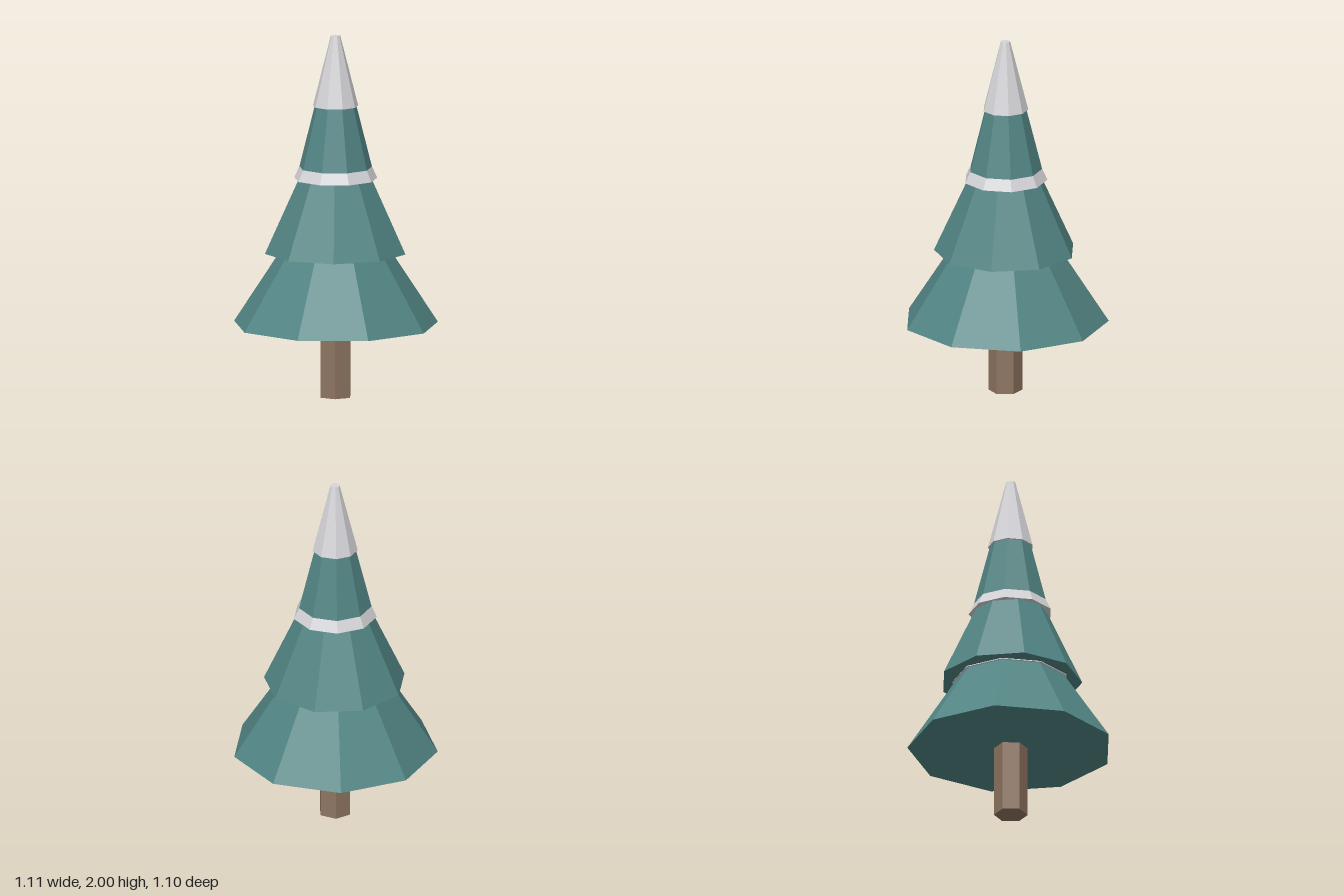
import * as THREE from 'three';

export function createModel() {
  const tree = new THREE.Group();
  tree.name = 'snowyPineTree';

  const material = (name, color) => {
    const m = new THREE.MeshStandardMaterial({ color, flatShading: true });
    m.name = name;
    return m;
  };
  const needles = material('teal needles', 0x528584);
  const snow = material('pale snow', 0xd6d6da);
  const bark = material('brown bark', 0x8f7561);

  // Faceted, closed, tapering section from height y0 to y1
  const section = (name, mat, sides, r0, r1, y0, y1, turn) => {
    const geo = new THREE.CylinderGeometry(r1, r0, y1 - y0, sides);
    geo.rotateY(turn);
    geo.translate(0, (y0 + y1) / 2, 0.016);
    const mesh = new THREE.Mesh(geo, mat);
    mesh.name = name;
    tree.add(mesh);
  };

  // Hexagonal trunk
  section('trunk', bark, 6, 0.0925, 0.0925, 0, 0.42, 0);

  // Nine-sided branch tiers, the middle one turned half a facet
  section('lowerBranches', needles, 9, 0.565, 0.24, 0.4, 0.9, Math.PI);
  section('middleBranches', needles, 9, 0.39, 0.18, 0.8, 1.26, 0);
  section('upperBranches', needles, 9, 0.216, 0.105, 1.21, 1.65, Math.PI);

  // Snow resting on the top of each tier
  section('lowerSnow', snow, 9, 0.322, 0.27, 0.794, 0.87, Math.PI);
  section('middleSnow', snow, 9, 0.23, 0.197, 1.207, 1.278, Math.PI);
  section('snowCap', snow, 9, 0.125, 0.026, 1.61, 2, Math.PI);

  return tree;
}
